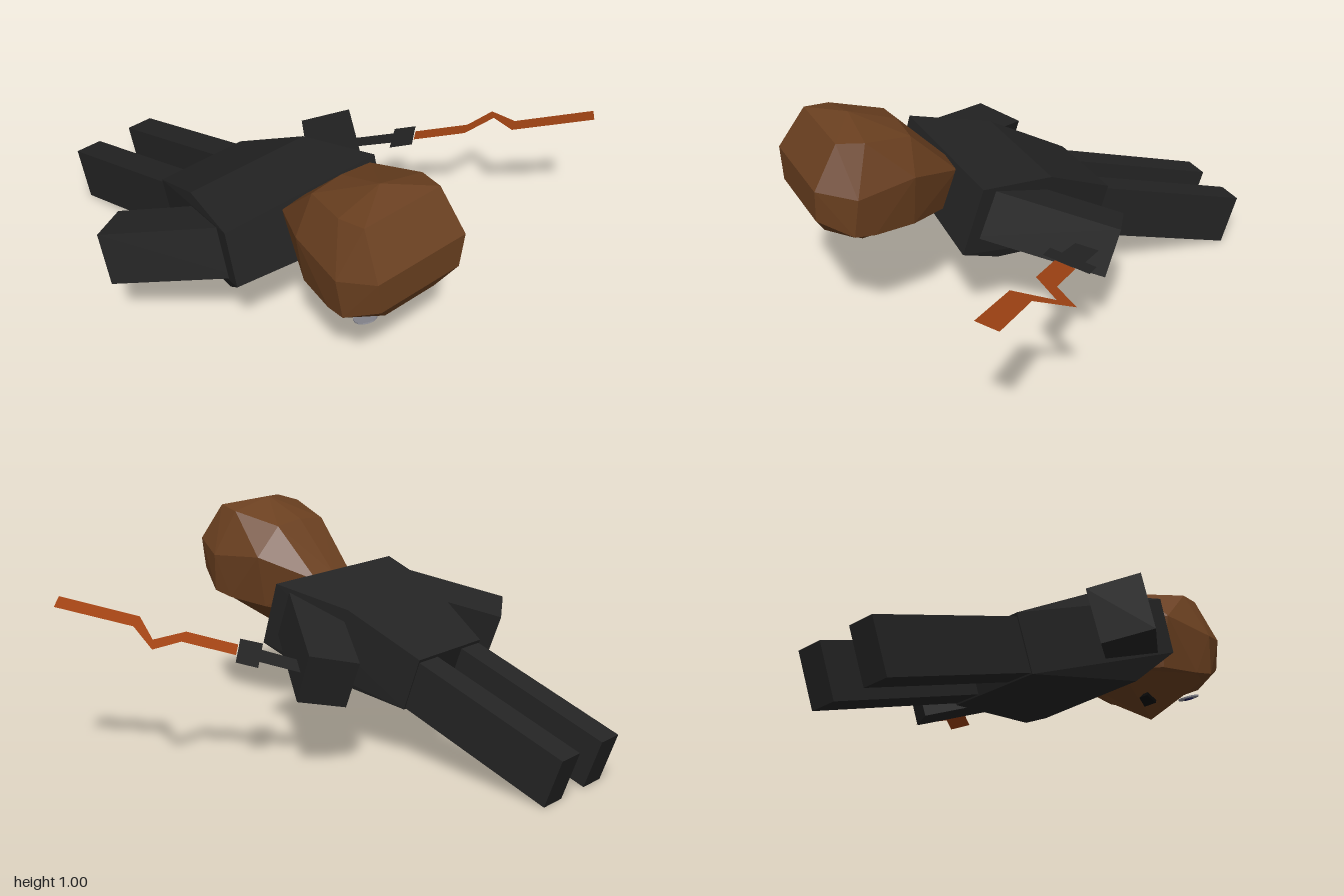
import * as THREE from 'three';
import { ConvexGeometry } from 'three/addons/geometries/ConvexGeometry.js';

const CX = -0.3; // symmetry plane of the figure
const mat = (color) => new THREE.MeshStandardMaterial({ color, flatShading: true });
const cloth = mat(0x242424);
const skin = mat(0x6b4020);
const bladeMat = mat(0xa34414);
const eyeWhite = mat(0x8c8c94);
const pupilMat = mat(0x15154a);
const black = mat(0x080808);
cloth.side = bladeMat.side = THREE.DoubleSide;

// Faceted solid around [x offset, y, z] points
function hull(name, points, material) {
  const verts = points.map(([x, y, z]) => new THREE.Vector3(CX + x, y, z));
  const mesh = new THREE.Mesh(new ConvexGeometry(verts), material);
  mesh.name = name;
  return mesh;
}

// Adds the mirrored copy of every point that is off the symmetry plane
const mirrored = (points) =>
  points.flatMap(([x, y, z]) => (x === 0 ? [[x, y, z]] : [[x, y, z], [-x, y, z]]));

// Straight bar: end-face corners swept along an offset
const bar = (corners, [dx, dy, dz]) =>
  corners.concat(corners.map(([x, y, z]) => [x + dx, y + dy, z + dz]));

// Flat sheet drawn in plan as [x, z], lying in the tilted plane of the weapon
function sheet(name, outline, material) {
  const shape = new THREE.Shape(outline.map(([x, z]) => new THREE.Vector2(x, z)));
  const geo = new THREE.ShapeGeometry(shape);
  const p = geo.attributes.position;
  for (let i = 0; i < p.count; i++) {
    const x = p.getX(i), z = p.getY(i);
    p.setXYZ(i, x, 0.46 + 0.35 * z, z);
  }
  // Reverse the winding so the sheet faces up
  geo.index.array.reverse();
  geo.computeVertexNormals();
  const mesh = new THREE.Mesh(geo, material);
  mesh.name = name;
  return mesh;
}

function eye(name, x, y, z) {
  const group = new THREE.Group();
  group.name = name;
  const white = new THREE.Mesh(new THREE.CylinderGeometry(0.045, 0.045, 0.006, 14), eyeWhite);
  white.name = 'eyeWhite';
  const pupil = new THREE.Mesh(new THREE.CylinderGeometry(0.02, 0.02, 0.006, 10), pupilMat);
  pupil.name = 'pupil';
  pupil.position.y = -0.004;
  group.add(white, pupil);
  group.position.set(x, y, z);
  group.rotation.x = -0.33;
  return group;
}

export function createModel() {
  const model = new THREE.Group();
  model.name = 'flyingFigure';

  // Torso: broad shoulders tapering to the hips
  model.add(hull('torso', [
    [-0.38, 0.71, 0.365], [0.36, 0.71, 0.365],
    [-0.38, 0.49, 0.43], [0.35, 0.43, 0.46],
    ...mirrored([
      [0.285, 0.64, 0.02], [0.3, 0.34, 0.28],
      [0.205, 0.47, -0.3], [0.205, 0.24, -0.22],
    ]),
  ], cloth));

  // Limbs, mirrored left and right
  for (const [side, s] of [['left', 1], ['right', -1]]) {
    const arm = bar([
      [0.645, 0.545, -0.1], [0.645, 0.34, -0.03],
      [0.475, 0.3, -0.14], [0.475, 0.5, -0.215],
    ], [-0.32, 0.145, 0.43]);
    const leg = bar([
      [0.08, 0.21, -1], [0.2, 0.21, -1], [0.2, 0, -0.925], [0.08, 0, -0.925],
    ], [0, 0.252, 0.72]);
    const flip = (pts) => pts.map(([x, y, z]) => [s * x, y, z]);
    model.add(hull(side + 'Arm', flip(arm), cloth), hull(side + 'Leg', flip(leg), cloth));
  }

  // Head: faceted skull narrowing to the neck
  const head = new THREE.Group();
  head.name = 'head';
  head.add(hull('skull', mirrored([
    [0, 0.995, 0.77], [0.2, 0.95, 0.78], [0.18, 0.965, 0.89],
    [0.21, 0.8, 1], [0.19, 0.66, 1], [0.12, 0.57, 0.95],
    [0.27, 0.75, 0.85], [0.25, 0.58, 0.87], [0.24, 0.56, 0.78],
    [0.24, 0.77, 0.6], [0.14, 0.9, 0.57], [0, 0.915, 0.57], [0.2, 0.54, 0.6],
    [0.11, 0.68, 0.365], [0, 0.695, 0.365], [0.1, 0.51, 0.43],
  ]), skin));

  // Pointed chin under the face
  head.add(hull('chin', mirrored([
    [0, 0.405, 0.755], [0.24, 0.565, 0.78], [0.2, 0.56, 0.87],
    [0, 0.56, 0.88], [0.1, 0.51, 0.43],
  ]), skin));

  // Face details
  head.add(eye('rightEye', -0.43, 0.5, 0.86), eye('leftEye', -0.205, 0.55, 0.88));
  const mouth = new THREE.Mesh(new THREE.BoxGeometry(0.12, 0.015, 0.06), black);
  mouth.name = 'mouth';
  mouth.position.set(-0.33, 0.45, 0.65);
  mouth.rotation.x = 0.32;
  head.add(mouth);
  model.add(head);

  // Zigzag blade held in the left hand
  const weapon = new THREE.Group();
  weapon.name = 'weapon';
  weapon.add(
    sheet('handle', [[0.31, -0.02], [0.24, 0.04], [0.37, 0.2], [0.44, 0.13]], cloth),
    sheet('guard', [[0.305, 0.2], [0.37, 0.265], [0.515, 0.14], [0.455, 0.075]], cloth),
    sheet('blade', [
      [0.41, 0.235], [0.55, 0.39], [0.72, 0.395], [0.655, 0.55], [0.87, 0.79],
      [0.94, 0.73], [0.73, 0.5], [0.77, 0.34], [0.62, 0.34], [0.475, 0.18],
    ], bladeMat),
  );
  model.add(weapon);
  return model;
}
